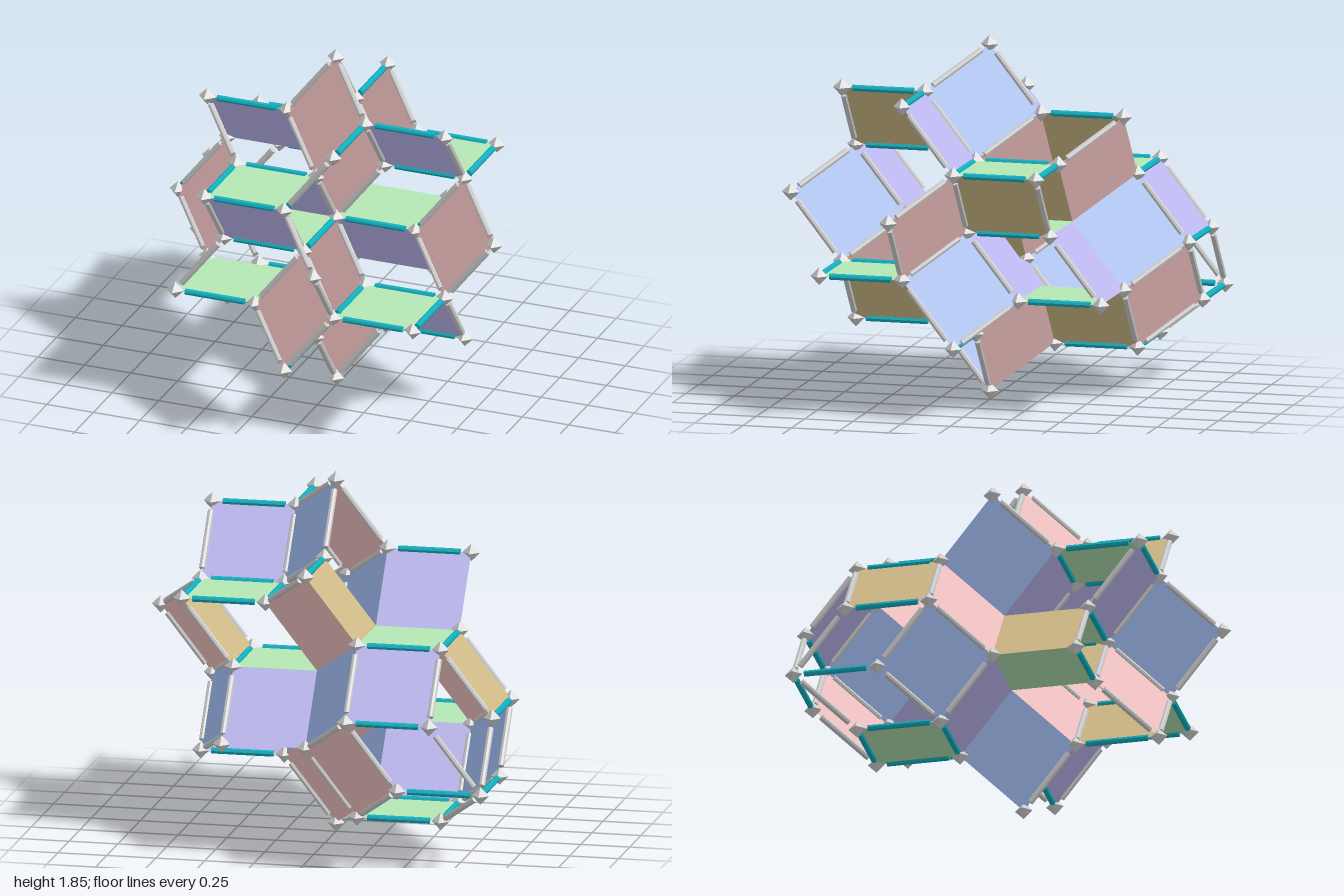
import * as THREE from 'three';

// Five equal edge directions in a ring: neighbours lean together, the others are perpendicular
const EDGE = 0.427, NODE = 0.045;
const G = (Math.sqrt(5) - 1) / 2;
const H = Math.sqrt(1 - G * G), L = Math.sqrt(1 - 2 * G * G);
const DIRS = [[1, 0, 0], [G, -L, G], [0, 0, 1], [0, H, G], [G, H, 0]]
  .map(d => new THREE.Vector3(...d).multiplyScalar(EDGE));
const CENTRE = new THREE.Vector3(0, NODE + EDGE * (2 * H + L), 0);

const toPoint = n => n.reduce((p, c, i) => p.addScaledVector(DIRS[i], c), CENTRE.clone());
const step = (n, i, s) => n.map((c, j) => (j === i % 5 ? c + s : c));
const count = (n, v) => n.filter(c => c === v).length;

// The squares spanned by directions k and k+2, as [base, sign of k, sign of k+2]
function squaresOf(k) {
  const o = [0, 0, 0, 0, 0];
  const far = step(step(o, k + 3, -1), k + 4, -1);
  return [
    [step(o, k + 1, 1), 1, 1], [step(o, k + 1, -1), -1, -1], // caps
    [far, -1, -1],                                           // skirt
    [o, 1, -1], [o, -1, 1],                                  // around the centre
    [step(o, k + 3, 1), -1, 1], [step(o, k + 4, 1), 1, -1],  // upper points
    [step(o, k + 3, -1), 1, -1], [step(o, k + 4, -1), -1, 1], // lower points
  ];
}

// Edges that are folded without a bar on the rear side
const bareNode = n => count(n, 0) === 4 && count(n, -1) === 1;
function bareEdge(a, b) {
  const rearFold = (p, q) => count(p, -1) === 2 && count(p, 1) === 0
    && count(q, -1) === 2 && count(q, 1) === 1;
  return bareNode(a) || bareNode(b) || rearFold(a, b) || rearFold(b, a);
}

export function createModel() {
  const model = new THREE.Group();
  const edges = new Map(), nodes = new Map();
  const addEdge = (a, b, dir) => {
    nodes.set(a.join(), a);
    nodes.set(b.join(), b);
    edges.set([a.join(), b.join()].sort().join('|'), { a, b, dir: dir % 5 });
  };

  // Square panels, one colour for each orientation
  const colors = [0xb4e6b4, 0x9db8ec, 0xd0ba88, 0xbdb8f0, 0xf0c0c0];
  const names = ['greenPanels', 'bluePanels', 'tanPanels', 'lavenderPanels', 'pinkPanels'];
  for (let k = 0; k < 5; k++) {
    const pos = [];
    for (const [base, s, t] of squaresOf(k)) {
      const p = step(base, k, s), r = step(base, k + 2, t), q = step(p, k + 2, t);
      addEdge(base, p, k);
      addEdge(r, q, k);
      addEdge(base, r, k + 2);
      addEdge(p, q, k + 2);
      const corners = s * t > 0 ? [base, p, q, r] : [base, r, q, p];
      for (const i of [0, 1, 2, 0, 2, 3]) pos.push(...toPoint(corners[i]).toArray());
    }
    const geo = new THREE.BufferGeometry();
    geo.setAttribute('position', new THREE.Float32BufferAttribute(pos, 3));
    geo.computeVertexNormals();
    const panels = new THREE.Mesh(geo, new THREE.MeshStandardMaterial({
      color: colors[k], side: THREE.DoubleSide,
    }));
    panels.name = names[k];
    model.add(panels);
  }

  // Open frame closing the rear end
  const rear = [-1, -1, -1, -1, -1];
  for (let k = 0; k < 5; k++) addEdge(rear, step(rear, k, 1), k);

  // Bars along the edges, stopping short of the joints
  const grey = new THREE.MeshStandardMaterial({ color: 0xcccccc, flatShading: true });
  const teal = new THREE.MeshStandardMaterial({ color: 0x10b0c0, flatShading: true });
  const barGeo = new THREE.CylinderGeometry(0.016, 0.016, EDGE - 0.11, 8);
  const bars = new THREE.Group();
  bars.name = 'edgeBars';
  const up = new THREE.Vector3(0, 1, 0);
  for (const { a, b, dir } of edges.values()) {
    if (bareEdge(a, b)) continue;
    const level = dir === 0 || dir === 2;
    const bar = new THREE.Mesh(barGeo, level ? teal : grey);
    bar.name = level ? 'levelBar' : 'slopedBar';
    bar.position.copy(toPoint(a)).lerp(toPoint(b), 0.5);
    bar.quaternion.setFromUnitVectors(up, DIRS[dir].clone().normalize());
    bars.add(bar);
  }
  model.add(bars);

  // Eight-sided joints at the corners
  const jointGeo = new THREE.OctahedronGeometry(NODE);
  const joints = new THREE.Group();
  joints.name = 'cornerJoints';
  for (const n of nodes.values()) {
    if (bareNode(n)) continue;
    const joint = new THREE.Mesh(jointGeo, grey);
    joint.name = 'cornerJoint';
    joint.position.copy(toPoint(n));
    joints.add(joint);
  }
  model.add(joints);
  return model;
}
